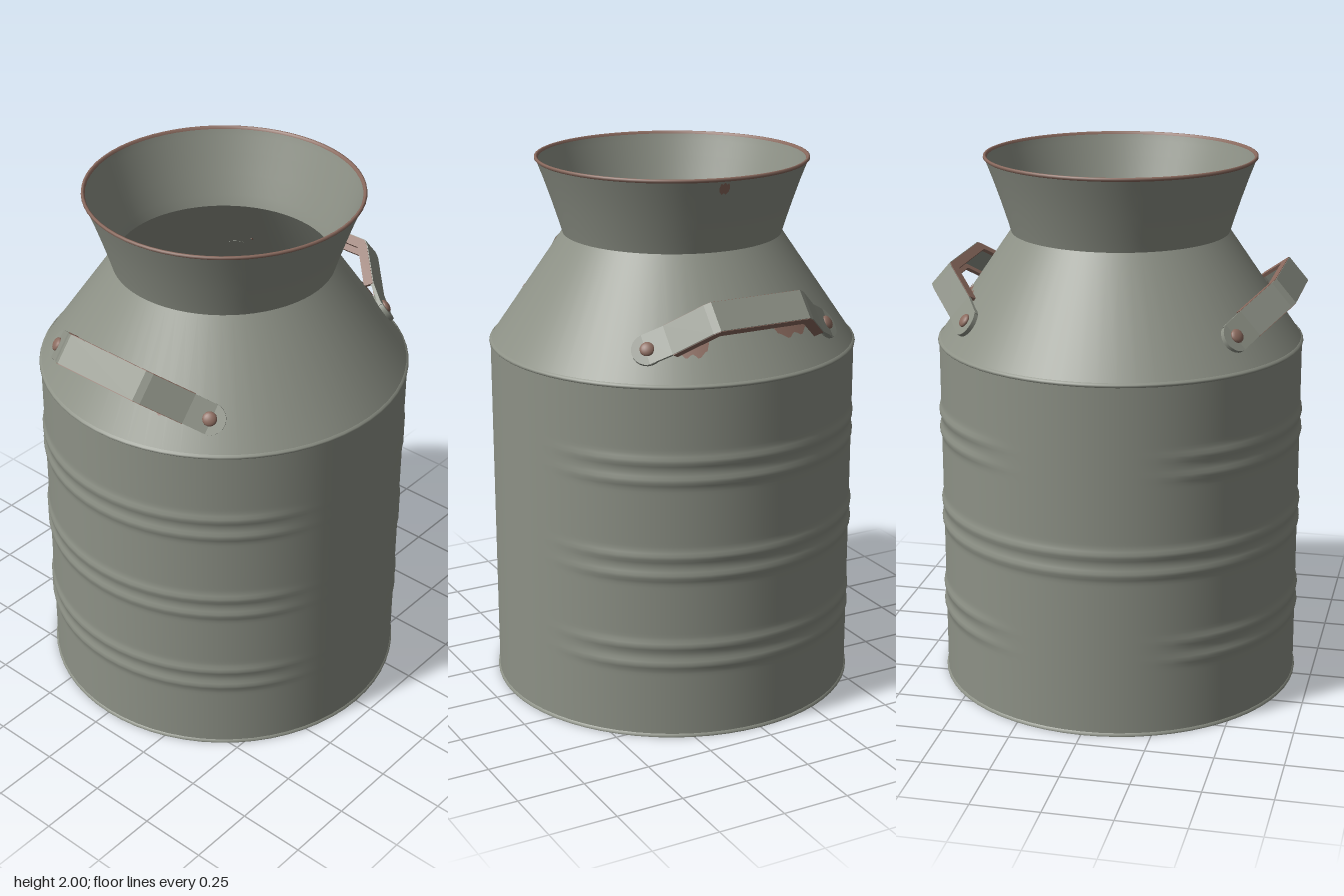
import * as THREE from 'three';
import { mergeVertices } from 'three/addons/utils/BufferGeometryUtils.js';

const SEG = 64;
const BODY_R = 0.675, BODY_TOP = 1.32, NECK_R = 0.402, NECK_Y = 1.72;
const SLOPE = (BODY_R - NECK_R) / (NECK_Y - BODY_TOP);
const shoulderR = y => BODY_R - (y - BODY_TOP) * SLOPE;

export function createModel() {
  const mat = (name, color) => new THREE.MeshStandardMaterial({ name, color, side: THREE.DoubleSide });
  const steel = mat('galvanised steel', 0x8d9186);
  const rust = mat('worn rust', 0x8a6a5e);

  const model = new THREE.Group();
  model.name = 'milkCan';
  const add = (name, geometry, material, parent = model) => {
    const mesh = new THREE.Mesh(geometry, material);
    mesh.name = name;
    parent.add(mesh);
    return mesh;
  };
  const lathe = pts => new THREE.LatheGeometry(pts.map(p => new THREE.Vector2(...p)), SEG);

  // Straight wall with pairs of pressed ribs that fade out toward the front
  const rings = [];
  for (let i = 0; i <= 110; i++) rings.push([BODY_R, 0.01 + (BODY_TOP - 0.01) * i / 110]);
  let wall = lathe(rings);
  wall.deleteAttribute('uv');
  wall.deleteAttribute('normal');
  wall = mergeVertices(wall, 1e-4);
  const pos = wall.attributes.position;
  const ribs = [[0.32, false], [0.66, true], [1.015, false]];
  for (let i = 0; i < pos.count; i++) {
    const x = pos.getX(i), y = pos.getY(i), z = pos.getZ(i);
    const sides = THREE.MathUtils.smoothstep(Math.abs(x) / BODY_R, 0.35, 0.75);
    const back = THREE.MathUtils.smoothstep(-z / BODY_R, 0, 0.5);
    let bump = 0;
    for (const [centre, allBack] of ribs) {
      const mask = allBack ? Math.max(sides, back) : sides;
      for (const s of [-1, 1]) bump += mask * 0.008 * Math.exp(-(((y - centre - s * 0.036) / 0.017) ** 2));
    }
    const k = 1 + bump / BODY_R;
    pos.setXYZ(i, x * k, y, z * k);
  }
  wall.computeVertexNormals();
  add('bodyWall', wall, steel);

  // Base, bottom bead and inner floor
  add('base', lathe([[0, 0], [0.68, 0]]), steel);
  add('bottomBead', lathe([[0.68, 0], [0.681, 0.006], [BODY_R, 0.012]]), steel);
  add('innerFloor', lathe([[0.665, 0.02], [0, 0.02]]), steel);

  // Shoulder cone with a narrow seam at its lower edge
  add('shoulder', lathe([[BODY_R, BODY_TOP], [NECK_R, NECK_Y]]), steel);
  add('shoulderSeam', lathe([[BODY_R, 1.312], [0.68, 1.317], [0.678, 1.323], [BODY_R - 0.004, 1.328]]), steel);

  // Flared neck, outside and inside, with a worn rim
  add('neckOutside', lathe([[NECK_R, NECK_Y], [0.414, 1.76], [0.44, 1.84], [0.468, 1.92], [0.494, 1.988]]), steel);
  add('neckInside', lathe([[0.486, 1.99], [0.478, 1.965], [0.458, 1.91], [0.43, 1.83], [0.404, 1.76], [0.392, NECK_Y]]), steel);
  add('neckSeam', lathe([[0.392, NECK_Y], [NECK_R + 0.001, NECK_Y - 0.003]]), steel);
  add('rim', lathe([[0.494, 1.986], [0.5, 1.991], [0.499, 1.998], [0.494, 2], [0.489, 1.998], [0.486, 1.99]]), rust);

  // Thin ragged patch wrapped round a surface of revolution
  const patch = (name, angle, span, y0, height, radiusAt) => {
    const g = new THREE.PlaneGeometry(1, 1, 14, 3);
    const p = g.attributes.position;
    for (let i = 0; i < p.count; i++) {
      const u = p.getX(i), v = p.getY(i);
      const taper = Math.sqrt(Math.max(0, 1 - (2 * u) ** 4));
      const y = y0 + v * height * taper * (0.85 + 0.15 * Math.sin(u * 17 + v * 3));
      const a = angle + u * span, r = radiusAt(y) + 0.004;
      p.setXYZ(i, r * Math.sin(a), y, r * Math.cos(a));
    }
    g.computeVertexNormals();
    add(name, g, rust);
  };
  const H = Math.PI / 2;
  patch('shoulderRust', H + 0.31, 0.3, 1.475, 0.09, shoulderR);
  patch('shoulderRust', H - 0.38, 0.2, 1.45, 0.09, shoulderR);
  patch('shoulderRust', -H - 0.18, 0.33, 1.49, 0.05, shoulderR);
  patch('shoulderRust', -H + 0.38, 0.2, 1.46, 0.08, shoulderR);
  patch('neckRust', H - 0.12, 0.08, 1.96, 0.045, y => 0.468 + (y - 1.92) * 0.382);

  // Handle outline in (z, outward) coordinates, and a mitred offset of it
  const half = [[0.375, -0.012], [0.3, 0.05], [0.195, 0.175], [0.175, 0.19]];
  const path = [...half.map(([z, n]) => new THREE.Vector2(-z, n)),
    ...half.slice().reverse().map(([z, n]) => new THREE.Vector2(z, n))];
  const offset = (pts, d) => pts.map((p, i) => {
    const a = p.clone().sub(pts[Math.max(i - 1, 0)]).normalize();
    const b = pts[Math.min(i + 1, pts.length - 1)].clone().sub(p).normalize();
    const t = a.clone().add(b).normalize();
    const edge = i ? a : b;
    return new THREE.Vector2(-t.y, t.x).multiplyScalar(d / t.dot(edge)).add(p);
  });
  const band = (pts, outer, inner, from, width) => {
    const shape = new THREE.Shape([...offset(pts, inner), ...offset(pts, outer).reverse()]);
    return new THREE.ExtrudeGeometry(shape, { depth: width, bevelEnabled: false }).translate(0, 0, from);
  };
  const out = new THREE.Vector3(0.76, 0.65, 0).normalize();
  const across = new THREE.Vector3(-out.y, out.x, 0);
  const frame = new THREE.Matrix4().makeBasis(new THREE.Vector3(0, 0, 1), out, across)
    .setPosition(0.49, 1.435, 0);

  for (const side of ['left', 'right']) {
    const handle = new THREE.Group();
    handle.name = side + 'Handle';
    if (side === 'right') handle.rotation.y = Math.PI;
    model.add(handle);

    // Strap with worn flanges turned in along both edges
    add('strap', band(path, 0.006, -0.006, -0.055, 0.11).applyMatrix4(frame), steel, handle);
    for (const from of [-0.057, 0.045])
      add('strapFlange', band(path.slice(1, -1), 0.003, -0.032, from, 0.012).applyMatrix4(frame), rust, handle);

    // Rounded mounting pads and rivets lying on the shoulder
    for (const s of [-1, 1]) {
      const normal = new THREE.Vector3(0.49, 0, s * 0.36).normalize().setY(SLOPE).normalize();
      const mount = new THREE.Group();
      mount.name = 'mount';
      mount.position.set(0.488, 1.432, s * 0.36);
      mount.quaternion.setFromUnitVectors(new THREE.Vector3(0, 1, 0), normal);
      handle.add(mount);
      add('pad', new THREE.CylinderGeometry(0.056, 0.056, 0.016, 24), steel, mount);
      const rivet = add('rivet', new THREE.SphereGeometry(0.026, 16, 10), rust, mount);
      rivet.scale.y = 0.5;
      rivet.position.y = 0.011;
    }
  }
  return model;
}
